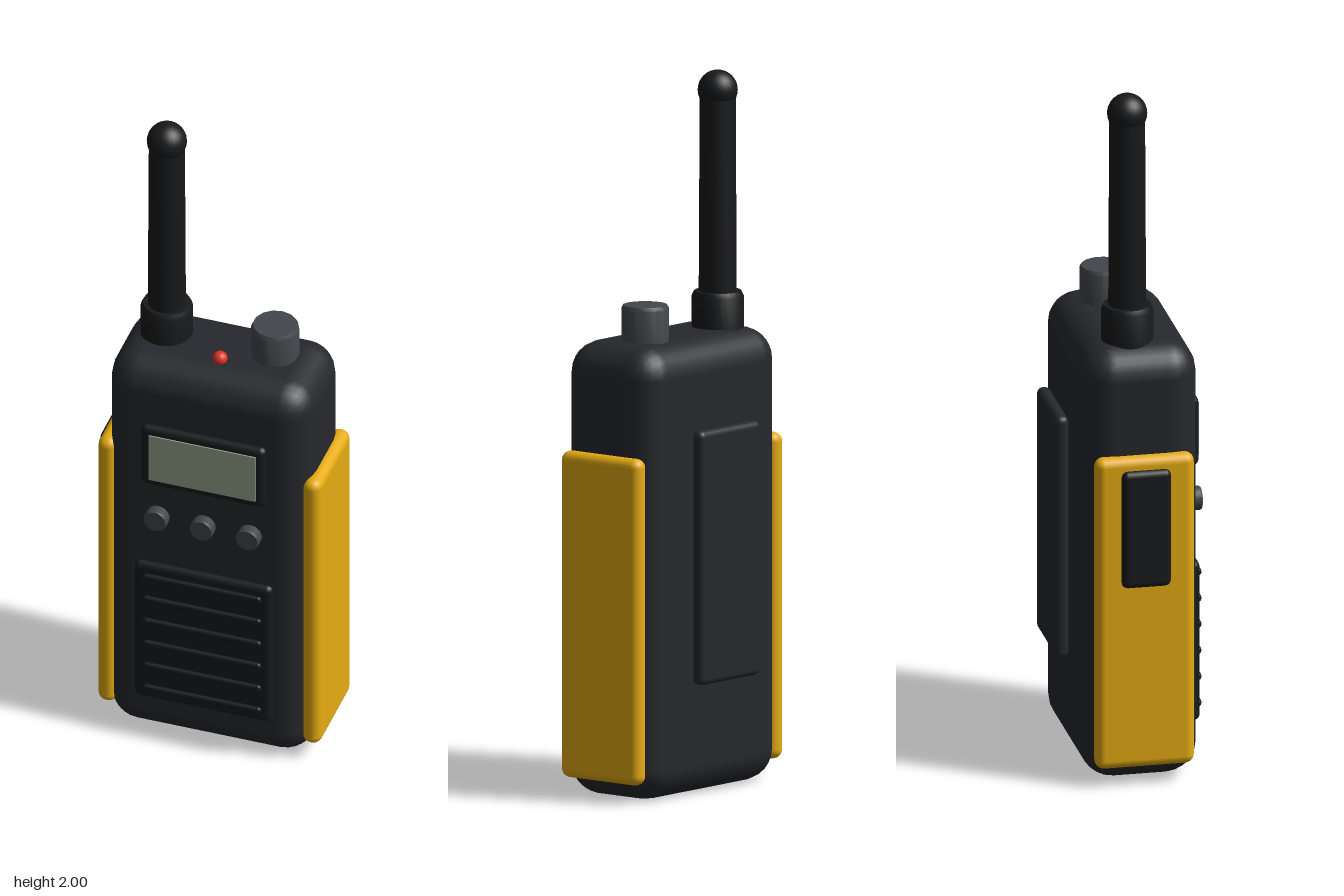
import * as THREE from 'three';
import { RoundedBoxGeometry } from 'three/addons/geometries/RoundedBoxGeometry.js';
import { toCreasedNormals } from 'three/addons/utils/BufferGeometryUtils.js';

const paint = (color) => new THREE.MeshStandardMaterial({ color });

export function createModel() {
  const model = new THREE.Group();
  const shell = paint(0x26282d), black = paint(0x18191b), grey = paint(0x43464b);
  const yellow = paint(0xe6ac12), glass = paint(0x94a48e), red = paint(0xe03224);

  const add = (name, geometry, material, x, y, z) => {
    const mesh = new THREE.Mesh(geometry, material);
    mesh.name = name;
    mesh.position.set(x, y, z);
    model.add(mesh);
    return mesh;
  };

  // rounded box given by its limits on each axis
  const slab = (name, [x0, x1], [y0, y1], [z0, z1], radius, material, segments = 3) =>
    add(name, new RoundedBoxGeometry(x1 - x0, y1 - y0, z1 - z0, segments, radius), material,
      (x0 + x1) / 2, (y0 + y1) / 2, (z0 + z1) / 2);

  // turned part with crisp rims, from [radius, height] pairs
  const turned = (name, profile, sides, material, x, y, z) => {
    const points = profile.map(([r, h]) => new THREE.Vector2(r, h));
    return add(name, toCreasedNormals(new THREE.LatheGeometry(points, sides), 0.6), material, x, y, z);
  };

  // main case
  slab('body', [-0.291, 0.304], [0.005, 1.28], [-0.154, 0.173], 0.09, shell);

  // side grips
  slab('rightGrip', [-0.32, -0.265], [0.058, 0.976], [-0.132, 0.149], 0.026, yellow);
  slab('leftGrip', [0.279, 0.334], [0.058, 0.976], [-0.132, 0.149], 0.026, yellow);

  // talk button and belt clip
  slab('talkButton', [-0.336, -0.296], [0.595, 0.94], [-0.061, 0.079], 0.018, black);
  slab('beltClip', [-0.126, 0.139], [0.325, 1.04], [-0.206, -0.167], 0.018, shell);

  // display
  slab('screenBezel', [-0.178, 0.188], [0.885, 1.09], [0.15, 0.191], 0.018, black);
  add('screen', new THREE.BoxGeometry(0.313, 0.154, 0.02), glass, 0.0055, 0.988, 0.185);

  // keypad
  for (const x of [-0.13, 0.005, 0.14]) {
    const key = turned('keypadButton', [[0, 0], [0.034, 0], [0.034, 0.04], [0.031, 0.044], [0, 0.044]],
      20, grey, x, 0.775, 0.16);
    key.rotation.x = Math.PI / 2;
  }

  // speaker panel with raised bars
  slab('speakerPanel', [-0.197, 0.207], [0.138, 0.61], [0.15, 0.19], 0.018, black);
  for (let i = 0; i < 6; i++) {
    const y = 0.18 + i * 0.0774;
    slab('speakerBar', [-0.167, 0.178], [y - 0.011, y + 0.011], [0.178, 0.2], 0.009, black, 2);
  }

  // antenna with collar and round tip
  const ax = -0.1675, az = -0.0125;
  turned('antennaCollar', [[0, 1.25], [0.073, 1.25], [0.073, 1.365], [0.066, 1.38], [0, 1.38]],
    28, black, ax, 0, az);
  turned('antennaRod', [[0.053, 1.36], [0.05, 1.945]], 20, black, ax, 0, az);
  add('antennaTip', new THREE.SphereGeometry(0.056, 24, 16), black, ax, 1.944, az);

  // volume knob and status light
  turned('volumeKnob', [[0, 1.25], [0.067, 1.25], [0.067, 1.37], [0.062, 1.38], [0, 1.38]],
    14, grey, 0.15, 0, -0.0125);
  add('statusLight', new THREE.SphereGeometry(0.021, 16, 12), red, 0.0165, 1.288, 0.07);

  return model;
}
